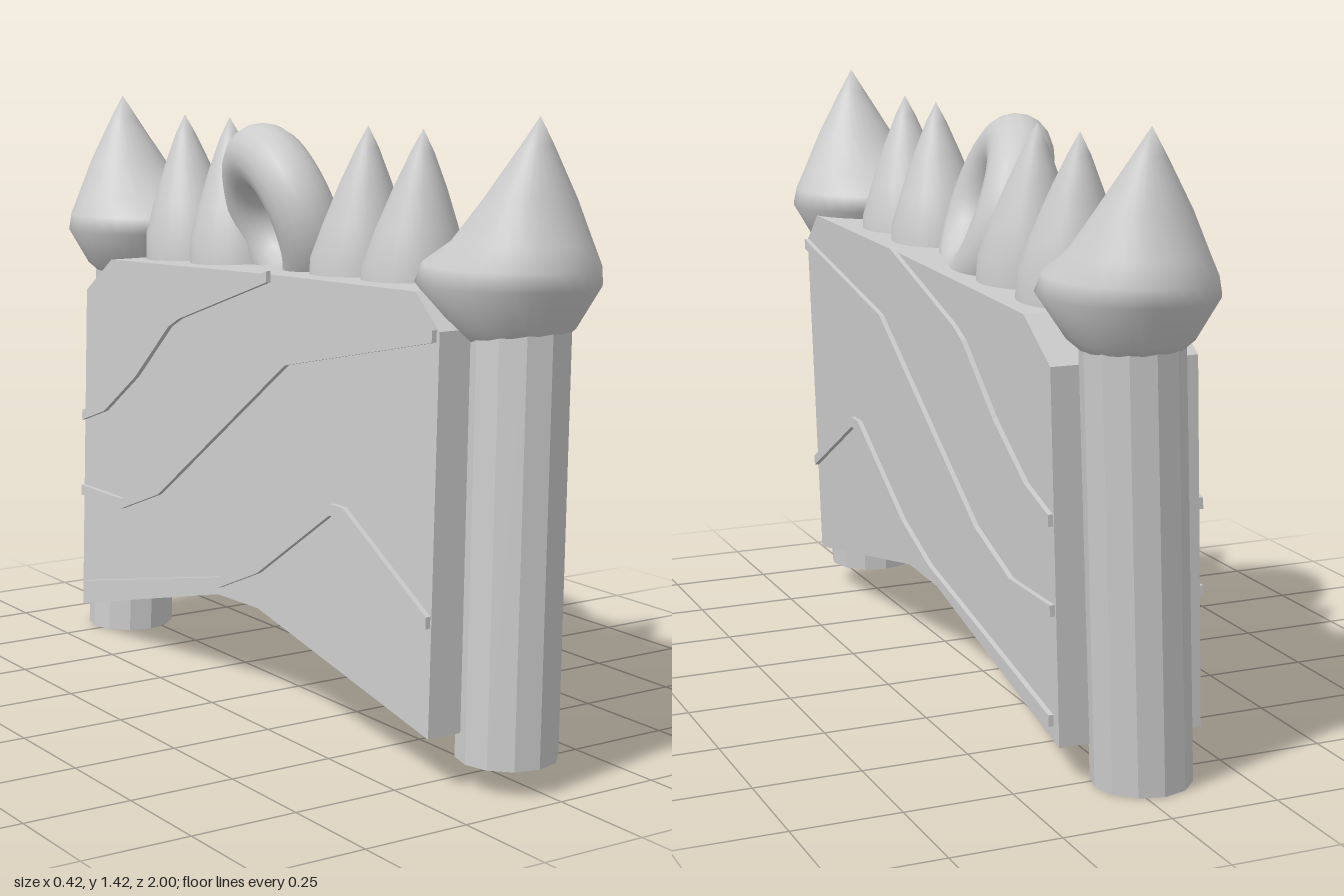
import * as THREE from 'three';
import { mergeVertices } from 'three/addons/utils/BufferGeometryUtils.js';

const smooth = new THREE.MeshStandardMaterial({ color: 0xcccccc, side: THREE.DoubleSide });
const flat = new THREE.MeshStandardMaterial({ color: 0xcccccc, side: THREE.DoubleSide, flatShading: true });
const HALF = 0.172; // half thickness of the hollow wall

// The wall leans slightly sideways with height
const lean = (y) => 0.04 * (y - 1);

function moveVertices(geometry, rule) {
  const p = geometry.attributes.position;
  const v = new THREE.Vector3();
  for (let i = 0; i < p.count; i++) {
    v.fromBufferAttribute(p, i);
    rule(v, i);
    p.setXYZ(i, v.x, v.y, v.z);
  }
  geometry.computeVertexNormals();
  return geometry;
}

// Lathe whose rows [y, radius, zMin, zMax] may shift and stretch along z
function stretchedLathe(rows, segments) {
  const lathe = new THREE.LatheGeometry(rows.map(([y, r]) => new THREE.Vector2(r, y)), segments);
  moveVertices(lathe, (v, i) => {
    const [, r, z0, z1] = rows[i % rows.length];
    v.z = (z0 + z1) / 2 + (r > 0 ? (v.z / r) * (z1 - z0) / 2 : 0);
  });
  lathe.deleteAttribute('uv');
  lathe.deleteAttribute('normal');
  const merged = mergeVertices(lathe, 1e-4);
  merged.computeVertexNormals();
  return merged;
}

// Shape drawn in (z, y), to be turned onto the side s of the wall
const sideShape = (points, s) => new THREE.Shape(points.map(([z, y]) => new THREE.Vector2(-s * z, y)));

function placeOnSide(geometry, s) {
  geometry.rotateY(s * Math.PI / 2).translate(s * HALF, 0, 0);
  return moveVertices(geometry, (v) => { v.x += lean(v.y); });
}

// Wall outline in (z, y): up the front end, along the top, down the back end
const rim = [[0.81, 0.12], [0.79, 0.98], [0.7, 1.055], [0.14, 1.04], [-0.62, 1.01], [-0.75, 0.92], [-0.735, 0.08]];
const arch = [[-0.05, 0.25], [0.13, 0.255]];

// Raised lines running over both sides of the wall, in (z, y)
const ridges = [
  [[0.14, 1.035], [-0.25, 0.91], [-0.3, 0.885], [-0.46, 0.74], [-0.62, 0.63], [-0.74, 0.59]],
  [[0.78, 0.97], [0.23, 0.855], [-0.33, 0.46], [-0.52, 0.39], [-0.735, 0.39]],
  [[0.8, 0.37], [0.48, 0.545], [0.43, 0.545], [0.14, 0.355], [-0.03, 0.285], [-0.71, 0.135]],
];

function ridgeGeometry(line, s) {
  const w = 0.013;
  const outline = [...line.map(([z, y]) => [z, y + w]), ...line.map(([z, y]) => [z, y - w]).reverse()];
  const g = new THREE.ExtrudeGeometry(sideShape(outline, s), { depth: 0.012, bevelEnabled: false });
  return placeOnSide(g, s);
}

// Strip closing the two ends and the top; the bottom stays open
function rimGeometry() {
  const pos = [];
  for (let i = 0; i < rim.length - 1; i++) {
    const [[z0, y0], [z1, y1]] = [rim[i], rim[i + 1]];
    const corner = (s, y, z) => [s * HALF + lean(y), y, z];
    const a = corner(-1, y0, z0), b = corner(1, y0, z0), c = corner(1, y1, z1), d = corner(-1, y1, z1);
    pos.push(...a, ...b, ...c, ...a, ...c, ...d);
  }
  const g = new THREE.BufferGeometry();
  g.setAttribute('position', new THREE.Float32BufferAttribute(pos, 3));
  g.computeVertexNormals();
  return g;
}

export function createModel() {
  const model = new THREE.Group();
  const add = (name, geometry, material, parent = model) => {
    const mesh = new THREE.Mesh(geometry, material);
    mesh.name = name;
    parent.add(mesh);
    return mesh;
  };

  // Hollow wall with ridged sides
  const wall = new THREE.Group();
  wall.name = 'wall';
  model.add(wall);
  add('wallRim', rimGeometry(), flat, wall);
  for (const s of [1, -1]) {
    // Outline order runs the other way round when mirrored; Shape fixes the winding
    const panel = new THREE.ShapeGeometry(sideShape([...rim, ...arch], s));
    add(s > 0 ? 'leftPanel' : 'rightPanel', placeOnSide(panel, s), flat, wall);
    for (const line of ridges) add('ridge', ridgeGeometry(line, s), flat, wall);
  }

  // Open posts at both ends: bottom and top centres
  const posts = [
    ['frontPost', [-0.02, 0.06, 0.84], [0.012, 1, 0.82]],
    ['backPost', [-0.04, 0, -0.78], [0.01, 1, -0.805]],
  ];
  for (const [name, [x0, y0, z0], [x1, y1, z1]] of posts) {
    const g = new THREE.CylinderGeometry(0.112, 0.112, y1 - y0, 12, 1, true);
    g.translate(0, (y1 - y0) / 2 + y0, 0);
    moveVertices(g, (v) => {
      const t = (v.y - y0) / (y1 - y0);
      v.x += x0 + (x1 - x0) * t;
      v.z += z0 + (z1 - z0) * t;
    });
    add(name, g, flat);
  }

  // Pointed onion caps, bulging in towards the wall
  const capRows = [
    [0.94, 0, 0.8, 0.8], [0.95, 0.1, 0.7, 0.9], [0.98, 0.135, 0.66, 0.935], [1.07, 0.19, 0.575, 0.99],
    [1.11, 0.176, 0.585, 1.0], [1.16, 0.145, 0.675, 0.978], [1.25, 0.1, 0.76, 0.945],
    [1.36, 0.036, 0.84, 0.905], [1.42, 0, 0.88, 0.88],
  ];
  for (const [name, turn] of [['frontCap', 0], ['backCap', Math.PI]]) {
    const g = stretchedLathe(capRows, 28).rotateY(turn).translate(0.01, 0, 0);
    add(name, g, smooth);
  }

  // Spikes along the top: base centre z, tip z
  for (const [zBase, zTip] of [[0.45, 0.48], [0.245, 0.27], [-0.29, -0.33], [-0.51, -0.55]]) {
    const profile = [[1.01, 0.122, 0], [1.08, 0.119, 0.1], [1.16, 0.093, 0.35], [1.25, 0.06, 0.65], [1.33, 0.026, 0.9], [1.38, 0, 1]];
    const rows = profile.map(([y, r, t]) => {
      const z = zBase + (zTip - zBase) * t;
      return [y, r, z - r, z + r];
    });
    add('spike', stretchedLathe(rows, 24).translate(0.01, 0, 0), smooth);
  }

  // Tilted ring in the middle
  const ring = new THREE.TorusGeometry(0.162, 0.078, 18, 40);
  ring.rotateY(Math.PI / 2).rotateZ(0.33).rotateY(-0.23).translate(-0.01, 1.145, -0.05);
  add('ring', ring, smooth);

  return model;
}
